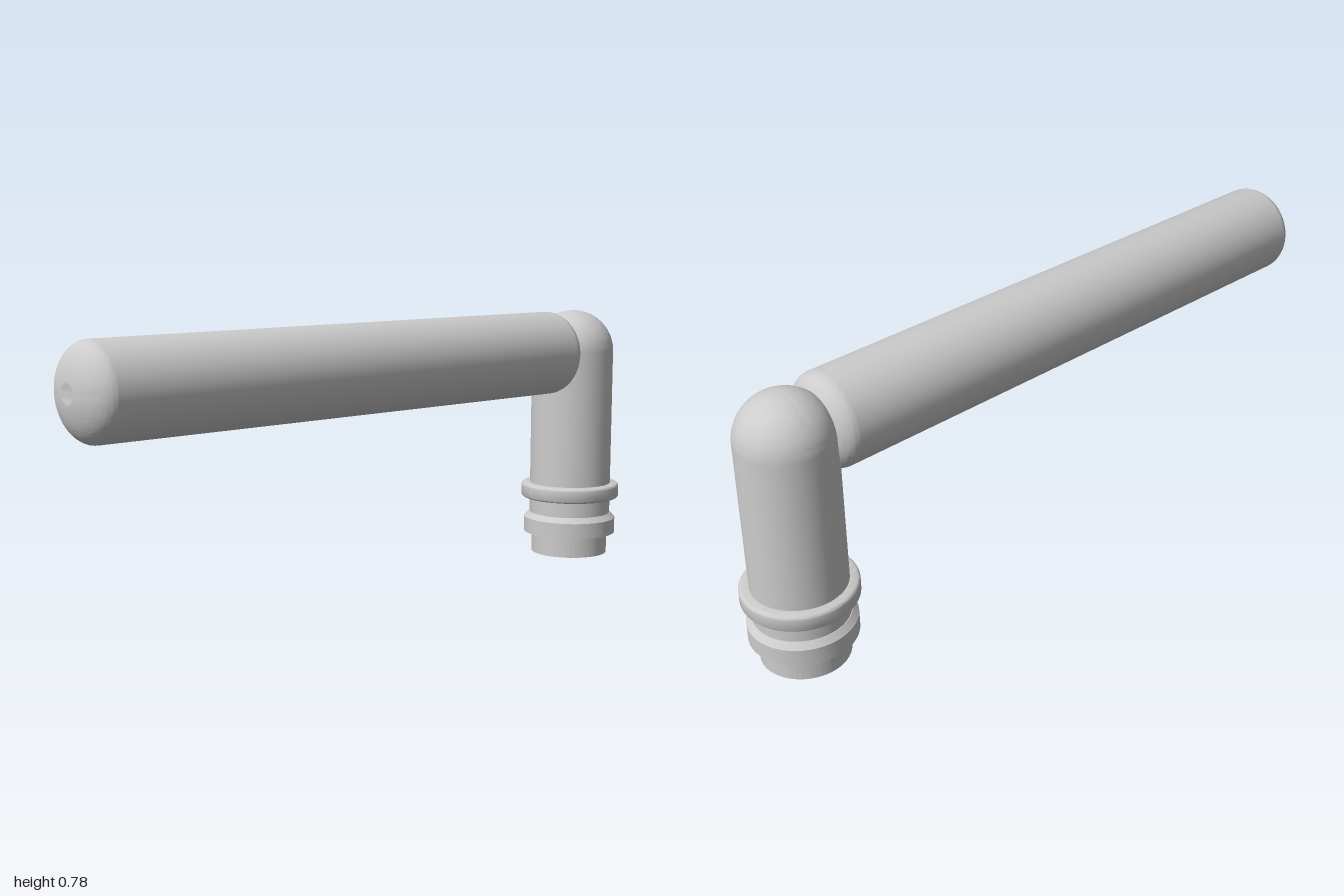
import * as THREE from 'three';
import { toCreasedNormals } from 'three/addons/utils/BufferGeometryUtils.js';

const R = 0.128;        // radius of post and grip
const POST_Z = -0.845;  // post axis
const GRIP_Y = 0.65;    // grip axis

const material = new THREE.MeshStandardMaterial({ color: 0xcccccc });

function addMesh(parent, name, geometry) {
  const mesh = new THREE.Mesh(toCreasedNormals(geometry, 0.6), material);
  mesh.name = name;
  parent.add(mesh);
  return mesh;
}

// Quarter ellipse in a lathe profile, from angle a0 to a1
function arc(cx, cy, rx, ry, a0, a1, n) {
  return Array.from({ length: n + 1 }, (_, i) => {
    const a = a0 + (a1 - a0) * i / n;
    return new THREE.Vector2(Math.max(0, cx + rx * Math.cos(a)), cy + ry * Math.sin(a));
  });
}

const lathe = (points) => new THREE.LatheGeometry(points, 64);
const v = (x, y) => new THREE.Vector2(x, y);
const Q = Math.PI / 2;

export function createModel() {
  const model = new THREE.Group();
  model.name = 'leverHandle';

  const post = new THREE.Group();
  post.name = 'post';
  post.position.z = POST_Z;
  model.add(post);

  // Upright shaft with a domed top
  addMesh(post, 'shaft', lathe([v(R, 0.1), ...arc(0, GRIP_Y, R, R, 0, Q, 20)]));

  // Rounded collar
  const b = 0.01;
  addMesh(post, 'collar', lathe([
    v(0.12, 0.179),
    ...arc(0.155 - b, 0.179 + b, b, b, -Q, 0, 5),
    ...arc(0.155 - b, 0.227 - b, b, b, 0, Q, 5),
    v(0.12, 0.227),
  ]));

  // Lower ring with a chamfered upper edge
  addMesh(post, 'lowerRing', lathe([
    v(0.11, 0.066), v(0.145, 0.066), v(0.145, 0.114), v(0.13, 0.13), v(0.12, 0.13),
  ]));

  // Base plug with a square spindle socket
  const h = 0.053, depth = 0.22;
  const disc = new THREE.Shape().absarc(0, 0, 0.12, 0, Math.PI * 2, false);
  disc.holes.push(new THREE.Path([v(-h, -h), v(-h, h), v(h, h), v(h, -h), v(-h, -h)]));
  const plug = new THREE.ExtrudeGeometry(disc, { depth, bevelEnabled: false, curveSegments: 64 });
  plug.rotateX(-Q);
  addMesh(post, 'basePlug', plug);
  const end = addMesh(post, 'socketEnd', new THREE.BoxGeometry(0.12, 0.01, 0.12));
  end.position.y = depth + 0.005;

  // Horizontal grip with shallow domed ends and a tiny dimple in the tip
  const cap = 0.07, back = -0.714, front = 1 - cap;
  const tip = arc(0, front, R, cap, 0, Math.acos(0.022 / R), 18);
  const rim = tip[tip.length - 1].y;
  const grip = lathe([
    ...arc(0, back, R, cap, -Q, 0, 18),
    ...tip,
    v(0.018, rim - 0.002), v(0.008, rim - 0.001), v(0, 1),
  ]);
  grip.rotateX(Q);
  addMesh(model, 'grip', grip).position.y = GRIP_Y;

  return model;
}
